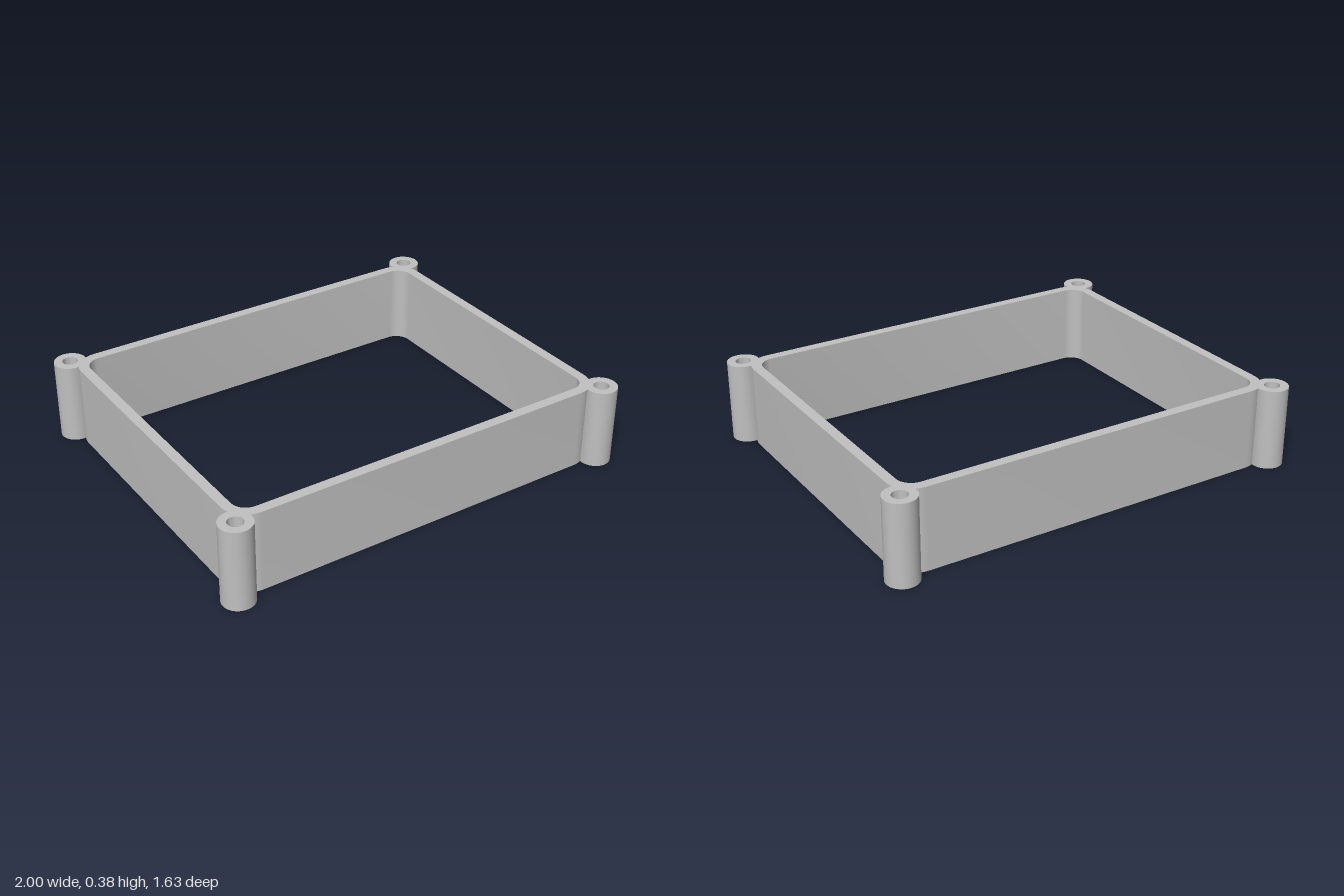
import * as THREE from 'three';
import { toCreasedNormals } from 'three/addons/utils/BufferGeometryUtils.js';

const HEIGHT = 0.375;
const HALF_X = 0.927, HALF_Z = 0.742;       // outer wall faces, also boss centres
const WALL = 0.047, INNER_R = 0.07, OUTER_R = WALL + INNER_R;
const BOSS_R = 0.073, HOLE_R = 0.035;

// points along an arc, both ends included
function arc(cx, cy, r, from, to, steps) {
  return Array.from({ length: steps + 1 }, (_, i) => {
    const a = from + (to - from) * i / steps;
    return new THREE.Vector2(cx + r * Math.cos(a), cy + r * Math.sin(a));
  });
}

// the four corners in counter-clockwise order
const corners = [[1, 1], [-1, 1], [-1, -1], [1, -1]].map(([sx, sy], i) => ({
  x: sx * HALF_X, y: sy * HALF_Z,
  cx: sx * (HALF_X - OUTER_R), cy: sy * (HALF_Z - OUTER_R),
  turn: i * Math.PI / 2,
}));

function createFrameGeometry() {
  // angle on the rounded wall corner where it runs into the boss
  const meet = Math.asin((3 - (BOSS_R / OUTER_R) ** 2) / (2 * Math.SQRT2));
  const t = Math.PI - meet - Math.PI / 4 < Math.PI / 4 ? Math.PI - meet - Math.PI / 4 : meet - Math.PI / 4;
  const bossStart = Math.atan2(Math.sin(t) - 1, Math.cos(t) - 1);
  const bossEnd = Math.PI / 2 - bossStart;

  // outer outline: wall corner, round the boss, wall corner again
  const outline = [], opening = [];
  for (const { x, y, cx, cy, turn } of corners) {
    outline.push(
      ...arc(cx, cy, OUTER_R, turn, turn + t, 4).slice(0, -1),
      ...arc(x, y, BOSS_R, turn + bossStart, turn + bossEnd, 36),
      ...arc(cx, cy, OUTER_R, turn + Math.PI / 2 - t, turn + Math.PI / 2, 4).slice(1),
    );
    opening.push(...arc(cx, cy, INNER_R, turn, turn + Math.PI / 2, 12));
  }
  const shape = new THREE.Shape(outline);

  // large opening and the four screw holes
  shape.holes.push(new THREE.Path(opening));
  for (const { x, y } of corners) {
    shape.holes.push(new THREE.Path(arc(x, y, HOLE_R, 0, Math.PI * 2, 32).slice(0, -1)));
  }

  const geometry = new THREE.ExtrudeGeometry(shape, { depth: HEIGHT, bevelEnabled: false });
  geometry.rotateX(-Math.PI / 2);
  return toCreasedNormals(geometry, 0.5);
}

export function createModel() {
  const group = new THREE.Group();
  group.name = 'spacerFrame';
  const grey = new THREE.MeshStandardMaterial({ color: 0xc0c0c0 });
  grey.name = 'light grey';

  const frame = new THREE.Mesh(createFrameGeometry(), grey);
  frame.name = 'frameWithCornerBosses';
  group.add(frame);
  return group;
}
